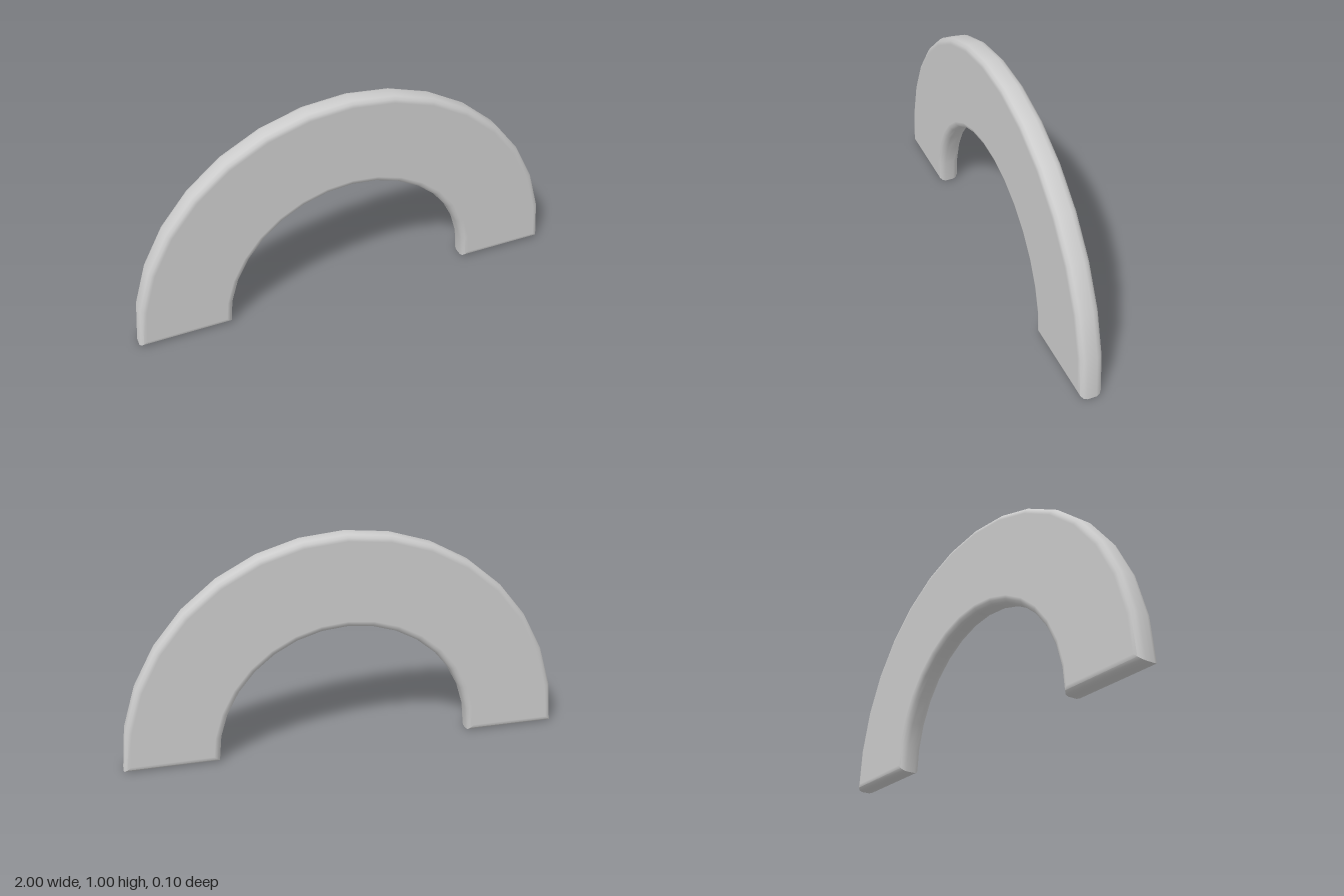
import * as THREE from 'three';
import { toCreasedNormals } from 'three/addons/utils/BufferGeometryUtils.js';

const OUTER = 1, INNER = 0.58, THICKNESS = 0.1, BEVEL = 0.03, SEGMENTS = 16;

// points of a half circle, running from +x over the top to -x
function halfCircle(radius) {
  return Array.from({ length: SEGMENTS + 1 }, (_, i) => {
    const a = (Math.PI * i) / SEGMENTS;
    return new THREE.Vector2(radius * Math.cos(a), radius * Math.sin(a));
  });
}

export function createModel() {
  const group = new THREE.Group();
  group.name = 'halfRing';

  // half-ring outline, extruded with a rounded edge kept inside the outline
  const shape = new THREE.Shape([...halfCircle(OUTER), ...halfCircle(INNER).reverse()]);
  const extruded = new THREE.ExtrudeGeometry(shape, {
    depth: THICKNESS - 2 * BEVEL,
    bevelThickness: BEVEL,
    bevelSize: BEVEL,
    bevelOffset: -BEVEL,
    bevelSegments: 3,
  });
  extruded.translate(0, 0, BEVEL - THICKNESS / 2);

  // smooth rounded edges, sharp mitred corners, flat faces
  const geometry = toCreasedNormals(extruded, 0.6);
  const { position, normal } = geometry.attributes;
  for (let i = 0; i < position.count; i++) {
    const z = position.getZ(i);
    if (Math.abs(z) > THICKNESS / 2 - 1e-4) normal.setXYZ(i, 0, 0, Math.sign(z));
  }

  const arch = new THREE.Mesh(geometry, new THREE.MeshStandardMaterial({ color: 0xcccccc }));
  arch.name = 'arch';
  group.add(arch);
  return group;
}
